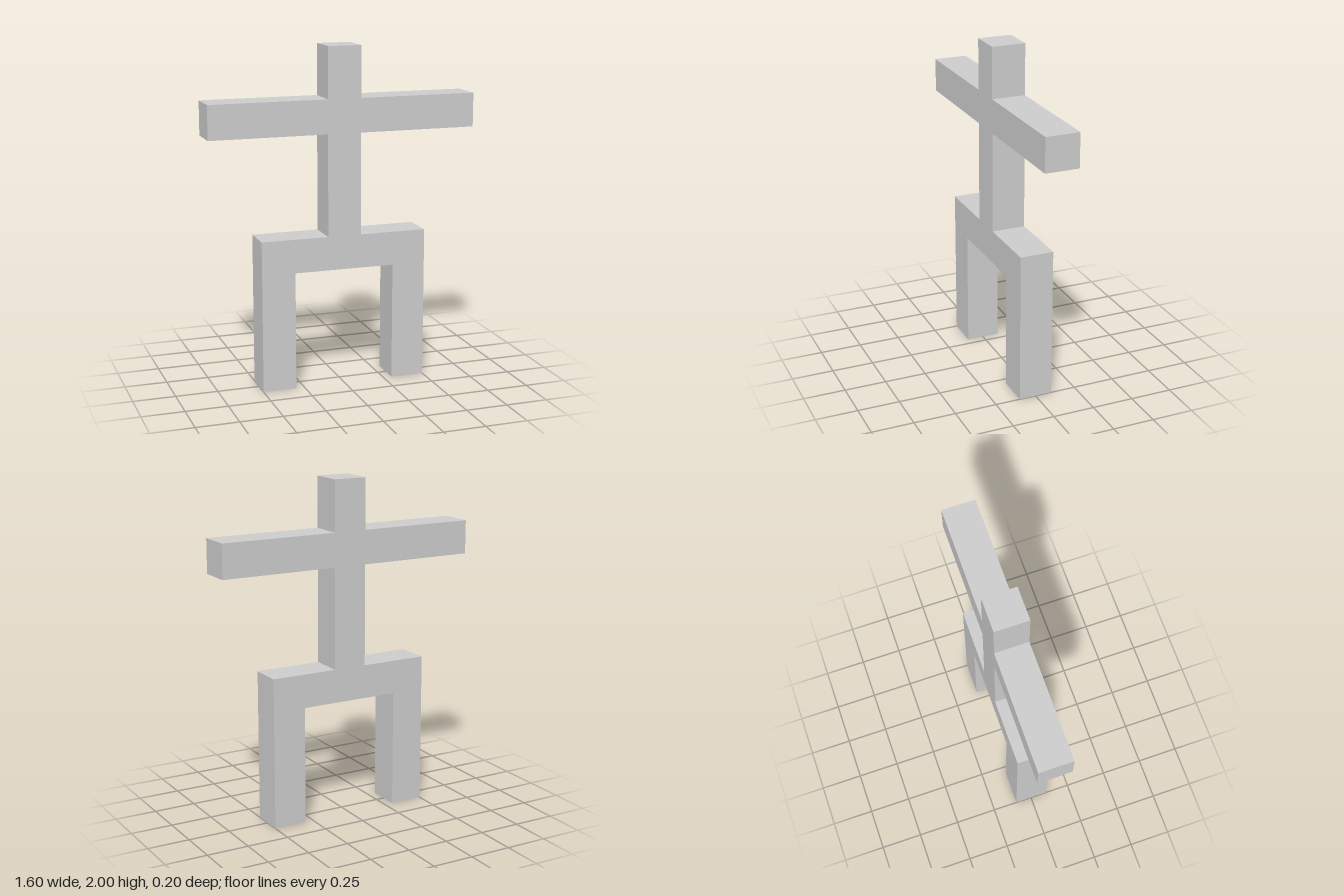
import * as THREE from 'three';

export function createModel() {
  const group = new THREE.Group();
  group.name = 'figure';
  const depth = 0.2;

  // Left half of the outline, from the top of the head to the crotch
  const half = [
    [0.1, 2], [0.1, 1.7],                           // head
    [0.8, 1.7], [0.8, 1.5], [0.1, 1.5],             // arm
    [0.1, 0.9], [0.5, 0.9],                         // torso and hip
    [0.5, 0], [0.3, 0], [0.3, 0.7],                 // leg
  ].map(([x, y]) => new THREE.Vector2(x, y));

  // Mirror it to close the outline
  const mirrored = half.map((p) => new THREE.Vector2(-p.x, p.y)).reverse();
  const outline = new THREE.Shape([...half, ...mirrored]);

  // One solid body with head, arms, torso, hips and legs
  const geometry = new THREE.ExtrudeGeometry(outline, { depth, bevelEnabled: false });
  geometry.translate(0, 0, -depth / 2);
  const material = new THREE.MeshStandardMaterial({ color: 0xcccccc, flatShading: true });
  const body = new THREE.Mesh(geometry, material);
  body.name = 'body';
  group.add(body);

  return group;
}
